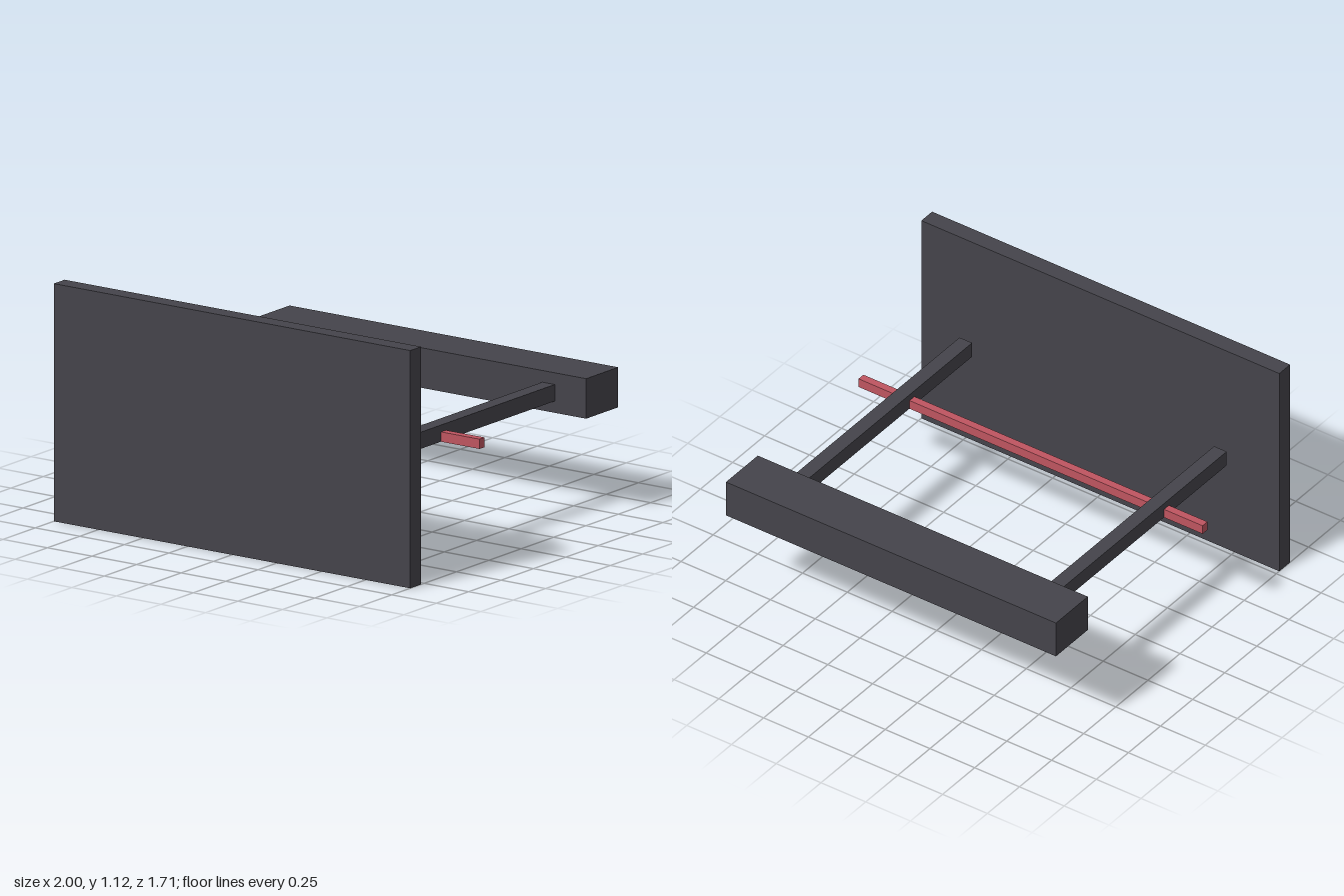
import * as THREE from 'three';

export function createModel() {
  const group = new THREE.Group();
  const darkGrey = new THREE.MeshStandardMaterial({ color: 0x45444b });
  darkGrey.name = 'dark grey';
  const red = new THREE.MeshStandardMaterial({ color: 0xbf5560 });
  red.name = 'muted red';

  // Box given by its lower and upper corners
  function addBox(name, material, [x0, y0, z0], [x1, y1, z1]) {
    const mesh = new THREE.Mesh(new THREE.BoxGeometry(x1 - x0, y1 - y0, z1 - z0), material);
    mesh.position.set((x0 + x1) / 2, (y0 + y1) / 2, (z0 + z1) / 2);
    mesh.name = name;
    group.add(mesh);
  }

  // Upright front panel
  addBox('frontPanel', darkGrey, [-1, 0, 0.773], [1, 1.117, 0.857]);

  // Heavy beam across the back
  addBox('rearBeam', darkGrey, [-0.922, 0.467, -0.857], [0.922, 0.655, -0.609]);

  // Two arms reaching forward from the beam, stopping short of the panel
  for (const [name, x] of [['leftArm', 0.711], ['rightArm', -0.711]]) {
    addBox(name, darkGrey, [x - 0.035, 0.522, -0.609], [x + 0.035, 0.6, 0.717]);
  }

  // Thin cross rod let into the underside of both arms
  addBox('crossRod', red, [-0.961, 0.521, 0.23], [0.961, 0.567, 0.268]);

  return group;
}
